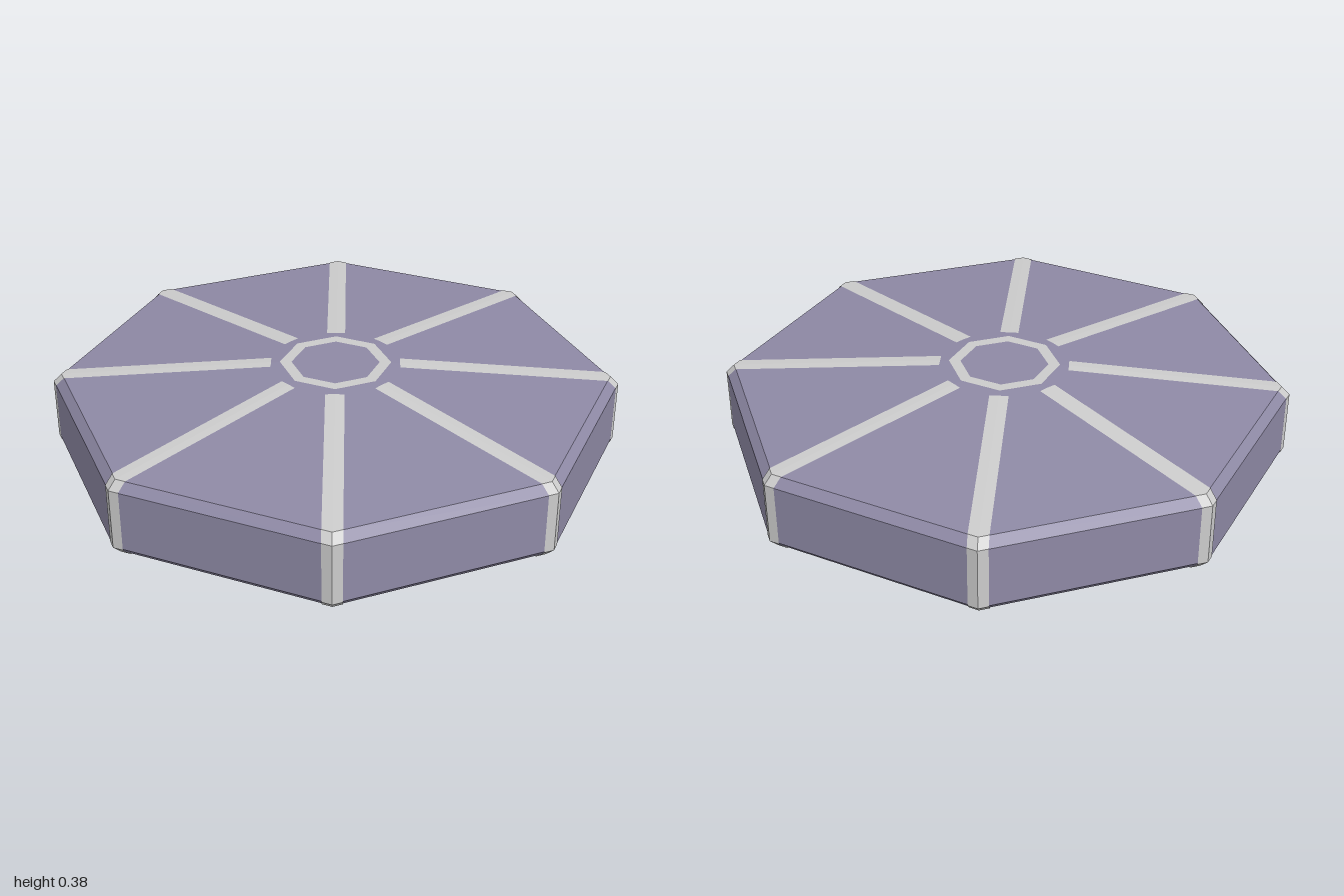
import * as THREE from 'three';

const SIDES = 8;
const MID = 0.1925;      // height of the symmetry plane
const LIFT = 0.002;      // trim sits just proud of the shell
const HALF = 0.033;      // half width of a trim band
const TAN = Math.tan(Math.PI / SIDES);

// Upper half of the shell outline: [corner radius, height above the middle]
const CAP = [0.2, 0.19], SHOULDER = [0.968, 0.137], RIM = [0.998, 0.107];

// Band that folds over one corner of the octagon, from top centre to bottom centre
function bandGeometry() {
  const start = 0.225;
  const slope = (CAP[1] - SHOULDER[1]) / (SHOULDER[0] - CAP[0]);
  const topY = r => CAP[1] - slope * (r - CAP[0]);
  const half = [
    [start, topY(start), start, topY(start + HALF * TAN)],
    ...[SHOULDER, RIM].map(([r, y]) => [r, y, r - HALF * TAN, y]),
  ];
  const rows = [...half, ...half.map(([r, y, s, t]) => [r, -y, s, -t]).reverse()];
  const pos = [], index = [];
  rows.forEach(([r, y, sideR, sideY], i) => {
    const up = i < 3 ? LIFT : -LIFT;
    pos.push(-HALF, MID + sideY + up, sideR + LIFT);
    pos.push(0, MID + y + up, r + LIFT);
    pos.push(HALF, MID + sideY + up, sideR + LIFT);
    if (i === rows.length - 1) return;
    for (let c = 0; c < 2; c++) {
      const a = i * 3 + c, b = a + 3;
      index.push(a, b, a + 1, a + 1, b, b + 1);
    }
  });
  const geo = new THREE.BufferGeometry();
  geo.setAttribute('position', new THREE.Float32BufferAttribute(pos, 3));
  geo.setIndex(index);
  geo.computeVertexNormals();
  return geo;
}

export function createModel() {
  const group = new THREE.Group();
  group.name = 'octagonalDisc';
  const shellMat = new THREE.MeshStandardMaterial({ color: 0x8e89a5, flatShading: true });
  const trimMat = new THREE.MeshStandardMaterial({ color: 0xcccccc, flatShading: true, side: THREE.DoubleSide });

  const add = (name, geo, mat) => {
    const mesh = new THREE.Mesh(geo, mat);
    mesh.name = name;
    group.add(mesh);
    return mesh;
  };

  // Bevelled eight-sided shell, corners on the axes
  const upper = [RIM, SHOULDER, CAP, [0, CAP[1]]];
  const lower = upper.map(([r, y]) => [r, -y]).reverse();
  const outline = [...lower, ...upper].map(([r, y]) => new THREE.Vector2(r, MID + y));
  add('shell', new THREE.LatheGeometry(outline, SIDES), shellMat);

  // Corner bands
  const band = bandGeometry();
  for (let i = 0; i < SIDES; i++) {
    add('cornerBand' + (i + 1), band, trimMat).rotation.y = i * Math.PI * 2 / SIDES;
  }

  // Hub rings on the top and bottom caps
  for (const s of [1, -1]) {
    const ring = new THREE.RingGeometry(0.155, 0.196, SIDES, 1);
    ring.rotateX(-s * Math.PI / 2);
    add(s > 0 ? 'topHubRing' : 'bottomHubRing', ring, trimMat).position.y = MID + s * (CAP[1] + LIFT);
  }
  return group;
}
